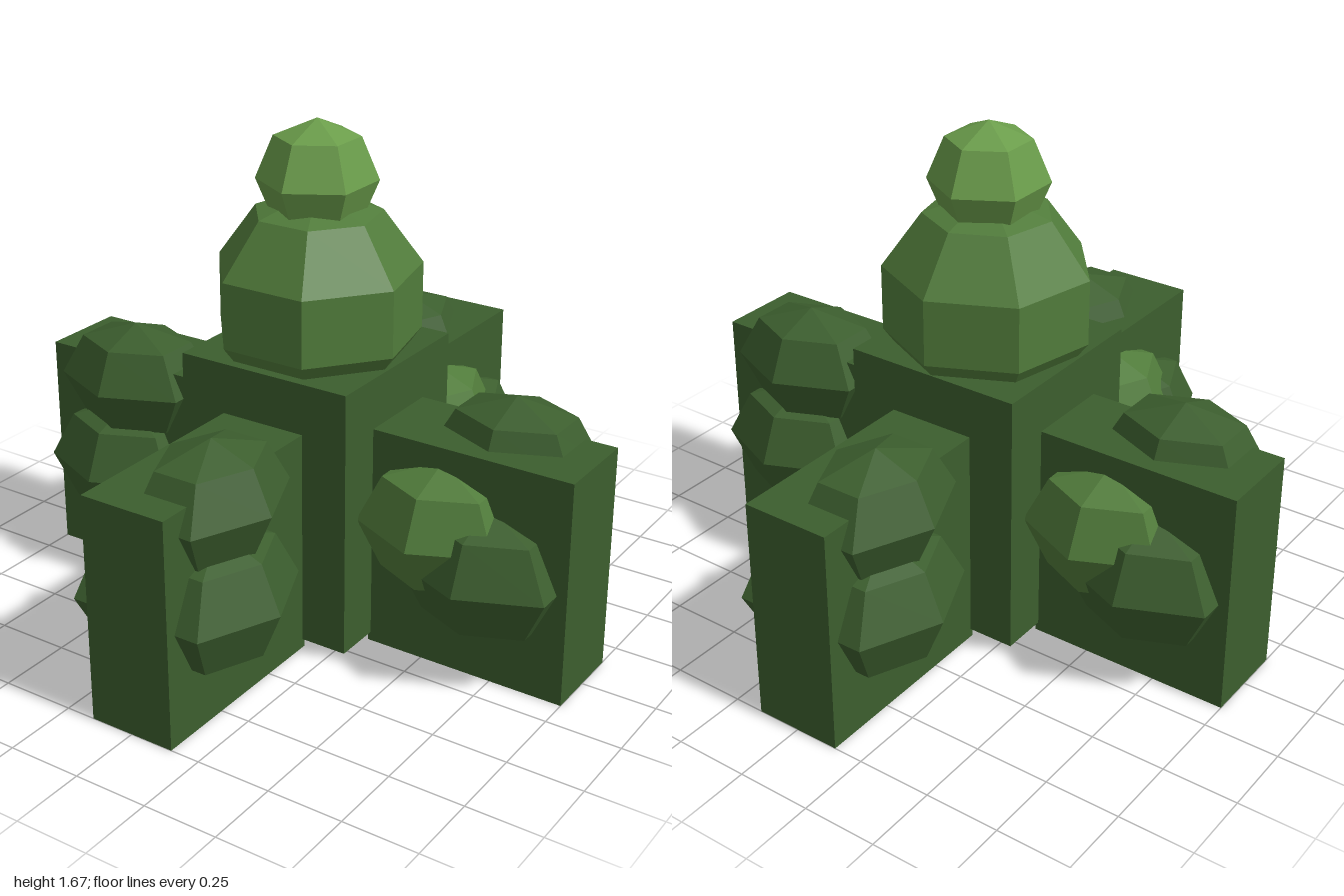
import * as THREE from 'three';

const material = (color) => new THREE.MeshStandardMaterial({ color, flatShading: true });

export function createModel() {
  const model = new THREE.Group();
  const hedge = material(0x3c5e2e);
  const leaf = material(0x517c3b);
  const tip = material(0x6a9c4a);

  function box(parent, name, size, position) {
    const mesh = new THREE.Mesh(new THREE.BoxGeometry(...size), hedge);
    mesh.name = name;
    mesh.position.set(...position);
    parent.add(mesh);
  }

  // Faceted ball with one corner of each ring pointing to -z
  function clump(parent, name, mat, radii, position, sides = 6, rows = 4) {
    const geometry = new THREE.SphereGeometry(1, sides, rows).rotateY(-Math.PI / 2);
    geometry.scale(...radii);
    const mesh = new THREE.Mesh(geometry, mat);
    mesh.name = name;
    mesh.position.set(...position);
    parent.add(mesh);
  }

  // Central block with the stacked crown
  box(model, 'centerBlock', [0.62, 0.9, 0.62], [0, 0.48, 0]);
  clump(model, 'crown', leaf, [0.357, 0.357, 0.357], [0, 1.087, 0], 7, 5);
  clump(model, 'crownTip', tip, [0.195, 0.195, 0.195], [0, 1.48, 0]);

  // Four hedge arms, each with leaf clumps on both faces
  for (let i = 0; i < 4; i++) {
    const arm = new THREE.Group();
    arm.name = 'hedgeArm' + (i + 1);
    arm.rotation.y = i * Math.PI / 2;
    box(arm, 'hedgeWall', [0.7, 0.76, 0.3], [0.65, 0.38, 0]);
    clump(arm, 'upperClump', hedge, [0.285, 0.2, 0.215], [0.685, 0.68, -0.085]);
    clump(arm, 'lightClump', leaf, [0.28, 0.22, 0.224], [0.545, 0.48, 0.12]);
    for (const side of [-1, 1]) {
      clump(arm, 'lowerClump', hedge, [0.297, 0.22, 0.224], [0.708, 0.375, side * 0.12]);
    }
    model.add(arm);
  }

  return model;
}
